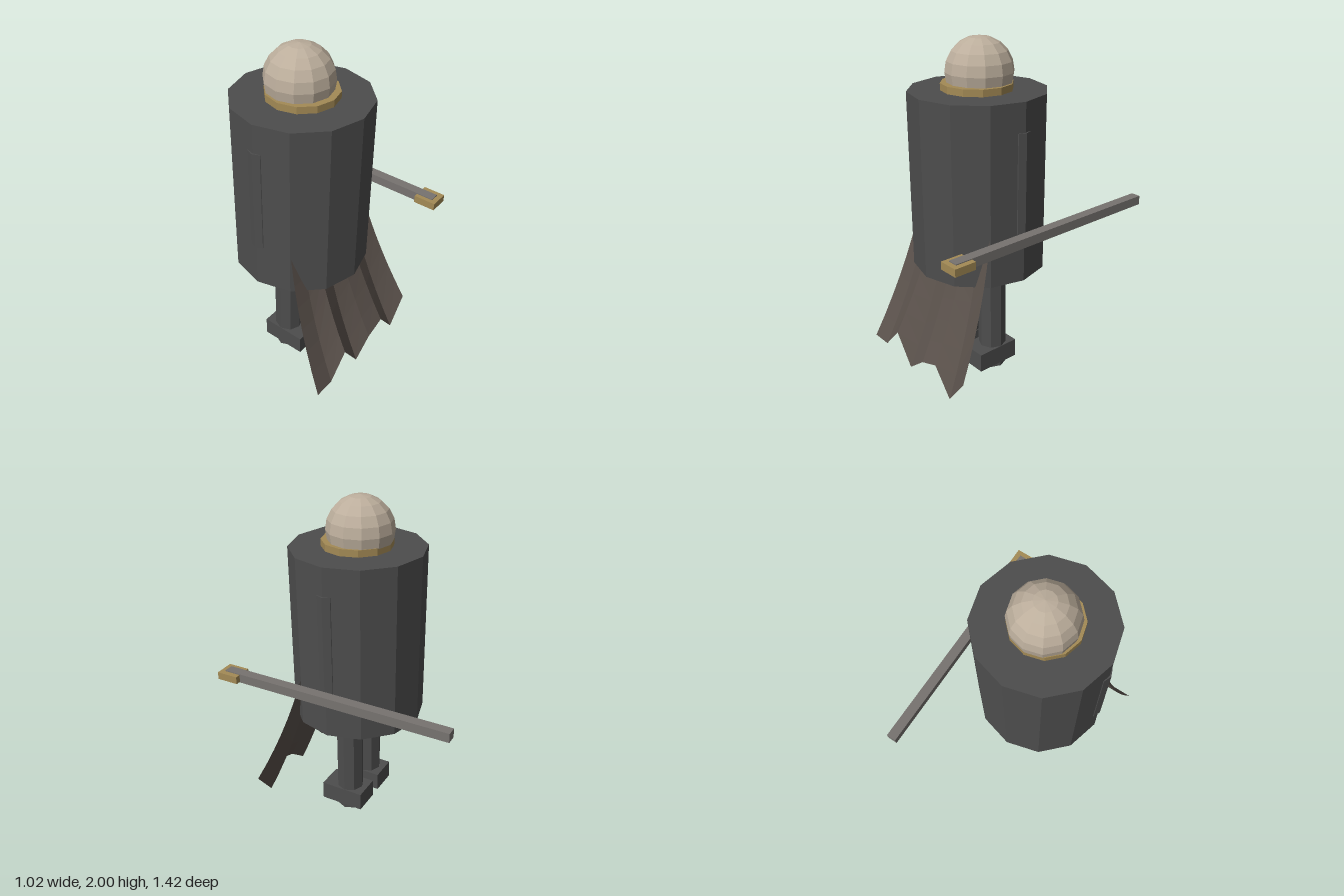
import * as THREE from 'three';

const CX = -0.06, CZ = 0.095; // axis of the figure

const paint = (color, side = THREE.FrontSide) =>
  new THREE.MeshStandardMaterial({ color, flatShading: true, side });

const cloth = paint(0x4d4d4d);
const gold = paint(0xa38a55);
const skin = paint(0xbcae9c);
const steel = paint(0x777370);
const capeCloth = paint(0x5b524c, THREE.DoubleSide);

function add(group, name, geometry, material, x, y, z) {
  const mesh = new THREE.Mesh(geometry, material);
  mesh.name = name;
  mesh.position.set(x, y, z);
  group.add(mesh);
  return mesh;
}

// Upright prism standing between two heights
function post(group, name, radius, sides, y0, y1, material, x, z) {
  const g = new THREE.CylinderGeometry(radius, radius, y1 - y0, sides);
  return add(group, name, g, material, x, (y0 + y1) / 2, z);
}

// Flaring cape: straight side edges, parabolic sweep, ragged hem
function capeGeometry() {
  const hem = [0.11, 0.11, 0.25, 0.07, 0.17, 0.215, 0.055, 0.22];
  const cols = hem.length - 1, rows = 12, top = 1.65;
  const g = new THREE.PlaneGeometry(1, 1, cols, rows);
  const p = g.attributes.position;
  for (let r = 0; r <= rows; r++) {
    const v = r / rows;
    const half = THREE.MathUtils.lerp(0.235, 0.45, v);
    for (let c = 0; c <= cols; c++) {
      p.setXYZ(r * (cols + 1) + c,
        CX + half * (2 * c / cols - 1),
        THREE.MathUtils.lerp(top, hem[c], v),
        0.21 + 0.375 * v * v);
    }
  }
  g.computeVertexNormals();
  return g;
}

export function createModel() {
  const model = new THREE.Group();
  model.name = 'cloakedFigure';

  // Torso, collar and head
  post(model, 'body', 0.395, 12, 0.675, 1.71, cloth, CX, CZ);
  post(model, 'collar', 0.205, 12, 1.66, 1.75, gold, CX, 0.1);
  add(model, 'head', new THREE.SphereGeometry(0.195, 12, 10), skin, CX, 1.805, 0.08);

  // Arms, legs and boots in mirrored pairs
  for (const [side, s] of [['left', 1], ['right', -1]]) {
    post(model, side + 'Arm', 0.06, 8, 0.94, 1.545, cloth, CX + s * 0.345, CZ)
      .position.x = CX + s * 0.345;
    post(model, side + 'Leg', 0.083, 8, 0, 0.75, cloth, CX + s * 0.118, 0.098);
    add(model, side + 'Boot', new THREE.BoxGeometry(0.168, 0.115, 0.275), cloth,
      CX + s * 0.118, 0.083, 0.118);
  }

  // Cape
  add(model, 'cape', capeGeometry(), capeCloth, 0, 0, 0);

  // Sword lying level beside the body
  const sword = new THREE.Group();
  sword.name = 'sword';
  add(sword, 'blade', new THREE.BoxGeometry(0.058, 0.054, 1.395), steel, 0.45, 0.998, -0.0175);
  add(sword, 'guard', new THREE.BoxGeometry(0.115, 0.044, 0.13), gold, 0.453, 0.998, 0.645);
  model.add(sword);

  return model;
}
